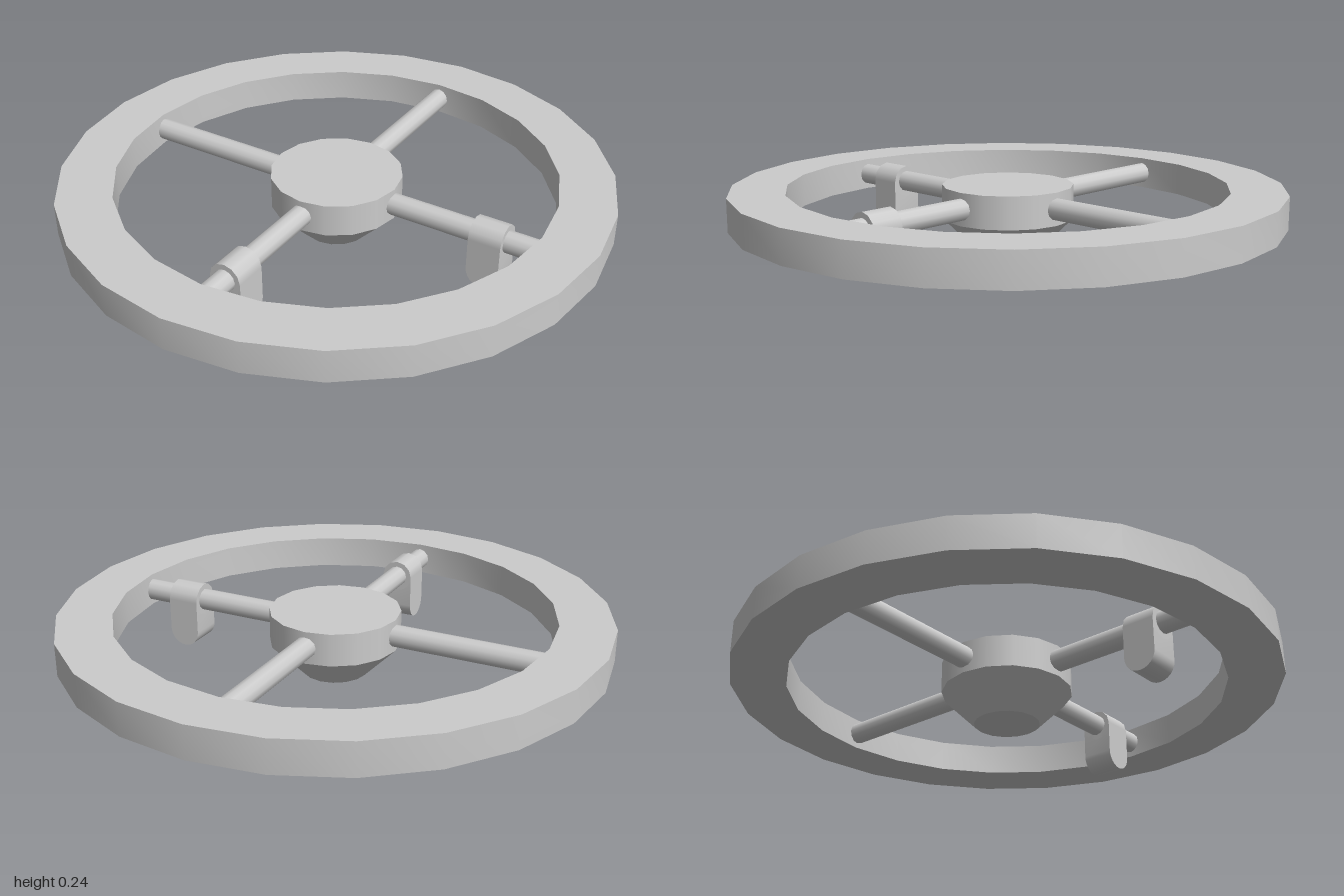
import * as THREE from 'three';
import { toCreasedNormals } from 'three/addons/utils/BufferGeometryUtils.js';

const material = new THREE.MeshStandardMaterial({ color: 0xcccccc });
const SPOKE_Y = 0.18; // mid-height of the rim

function add(parent, name, geometry, x = 0, y = 0, z = 0) {
  const mesh = new THREE.Mesh(geometry, material);
  mesh.name = name;
  mesh.position.set(x, y, z);
  parent.add(mesh);
  return mesh;
}

// Rod lying along local x
function rod(radius, length) {
  return new THREE.CylinderGeometry(radius, radius, length, 12).rotateZ(Math.PI / 2);
}

// Finger grip: half-round bottom in the plane of the spoke, extruded across it
function gripGeometry() {
  const r = 0.06;
  const shape = new THREE.Shape();
  shape.moveTo(r, SPOKE_Y);
  shape.lineTo(-r, SPOKE_Y);
  shape.lineTo(-r, r);
  shape.absarc(0, r, r, Math.PI, 2 * Math.PI, false);
  shape.closePath();
  const geometry = new THREE.ExtrudeGeometry(shape, { depth: 2 * r, bevelEnabled: false, curveSegments: 6 });
  geometry.translate(0, 0, -r);
  return toCreasedNormals(geometry, 0.7);
}

export function createModel() {
  const model = new THREE.Group();
  model.name = 'handwheel';

  // Flat rim with a rectangular section
  const section = [[1, 0.12], [1, 0.24], [0.8, 0.24], [0.8, 0.12], [1, 0.12]];
  const rim = new THREE.LatheGeometry(section.map(([x, y]) => new THREE.Vector2(x, y)), 24);
  add(model, 'rim', toCreasedNormals(rim, 0.7));

  // Hub disc over a tapered base
  add(model, 'hub', new THREE.CylinderGeometry(0.24, 0.24, 0.12, 16), 0, 0.18, 0);
  add(model, 'hubTaper', new THREE.CylinderGeometry(0.24, 0.12, 0.12, 16), 0, 0.06, 0);

  // Four diagonal spokes; the front two carry grips
  for (let i = 0; i < 4; i++) {
    const arm = new THREE.Group();
    arm.name = 'arm' + (i + 1);
    arm.rotation.y = Math.PI / 4 + i * Math.PI / 2;
    add(arm, 'spoke', rod(0.04, 0.62), 0.51, SPOKE_Y, 0);
    if (i >= 2) {
      add(arm, 'gripSleeve', rod(0.06, 0.12), 0.62, SPOKE_Y, 0);
      add(arm, 'grip', gripGeometry(), 0.62, 0, 0);
    }
    model.add(arm);
  }
  return model;
}
